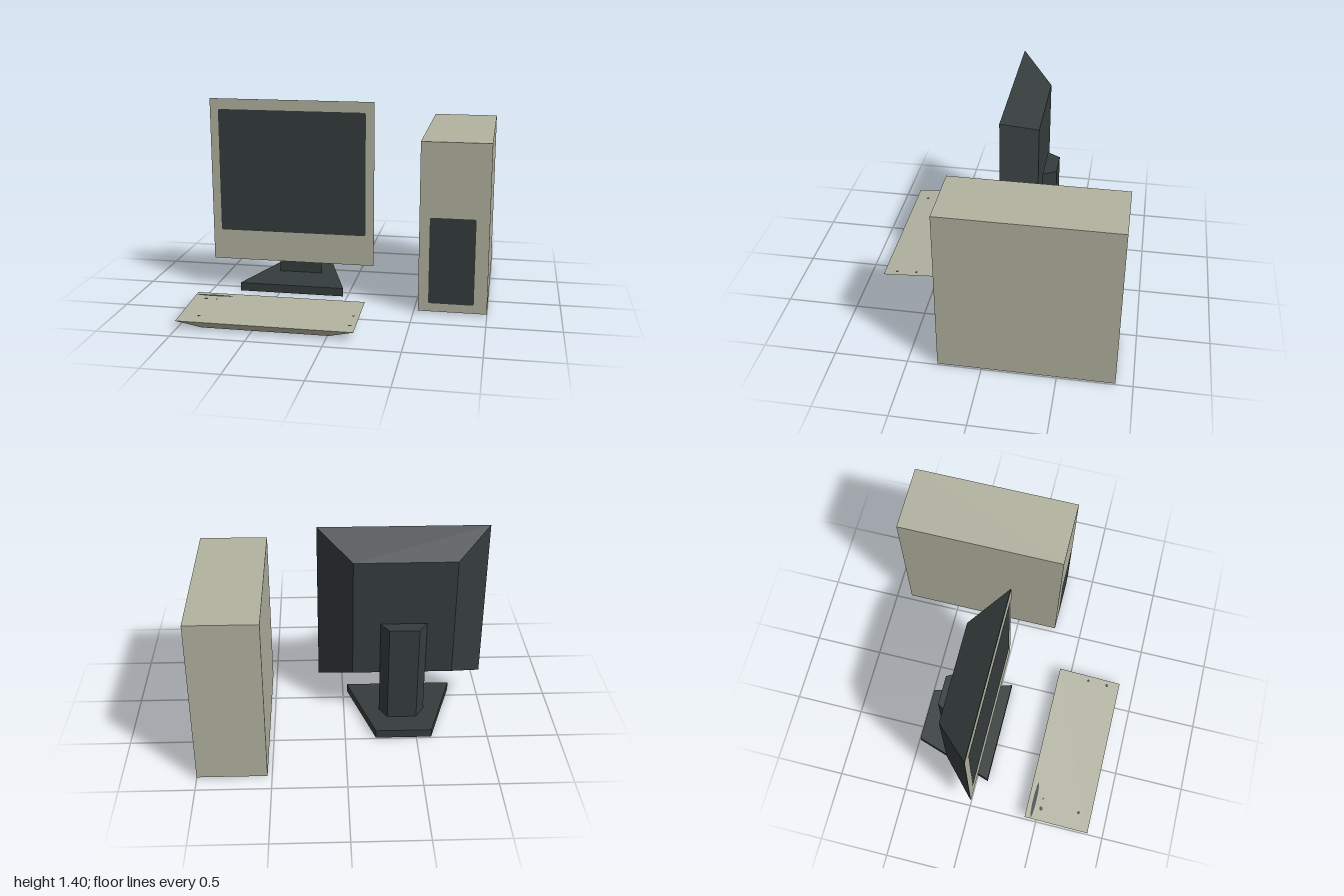
import * as THREE from 'three';

const beige = new THREE.MeshStandardMaterial({ color: 0xb2b2a0 });
beige.name = 'beige plastic';
const dark = new THREE.MeshStandardMaterial({ color: 0x353c3c });
dark.name = 'dark plastic';

// Flat-faced solid between two four-cornered rings (counterclockwise seen from the 'top' side)
function loft(bottom, top) {
  const pos = [];
  const quad = (a, b, c, d) => pos.push(...a, ...b, ...c, ...a, ...c, ...d);
  for (let i = 0; i < 4; i++) {
    const j = (i + 1) % 4;
    quad(bottom[i], bottom[j], top[j], top[i]);
  }
  quad(...top);
  quad(...[...bottom].reverse());
  const g = new THREE.BufferGeometry();
  g.setAttribute('position', new THREE.Float32BufferAttribute(pos, 3));
  g.computeVertexNormals();
  return g;
}

// Rings: upright rectangle at depth z, and horizontal trapezoid at height y
const upright = (x0, x1, y0, y1, z) => [[x0, y0, z], [x1, y0, z], [x1, y1, z], [x0, y1, z]];
const level = (front, back, zFront, zBack, yFront, yBack = yFront) => [
  [front[0], yFront, zFront], [front[1], yFront, zFront],
  [back[1], yBack, zBack], [back[0], yBack, zBack],
];

// Flat front-facing panel with rounded corners
function panel(x0, x1, y0, y1, z, r) {
  const s = new THREE.Shape();
  s.moveTo(x0 + r, y0);
  s.lineTo(x1 - r, y0).quadraticCurveTo(x1, y0, x1, y0 + r);
  s.lineTo(x1, y1 - r).quadraticCurveTo(x1, y1, x1 - r, y1);
  s.lineTo(x0 + r, y1).quadraticCurveTo(x0, y1, x0, y1 - r);
  s.lineTo(x0, y0 + r).quadraticCurveTo(x0, y0, x0 + r, y0);
  return new THREE.ShapeGeometry(s, 4).translate(0, 0, z);
}

export function createModel() {
  const model = new THREE.Group();
  model.name = 'desktopComputer';
  const add = (name, geometry, material, parent = model) => {
    const mesh = new THREE.Mesh(geometry, material);
    mesh.name = name;
    parent.add(mesh);
    return mesh;
  };
  const group = (name) => {
    const g = new THREE.Group();
    g.name = name;
    model.add(g);
    return g;
  };

  // Monitor: tapered dark housing, beige bezel, dark screen
  const monitor = group('monitor');
  add('monitorHousing', loft(upright(-0.76, -0.06, 0.375, 1.245, -0.225),
    upright(-1, 0.18, 0.22, 1.4, 0.01)), dark, monitor);
  add('bezel', new THREE.PlaneGeometry(1.18, 1.18).translate(-0.41, 0.81, 0.013), beige, monitor);
  add('screen', panel(-0.94, 0.12, 0.44, 1.325, 0.017, 0.015), dark, monitor);

  // Stand: tapered neck on a trapezoid foot, hollow underneath
  const stand = group('stand');
  const neckFront = [-0.57, -0.25], neckBack = [-0.51, -0.305];
  add('neck', loft(level(neckFront, neckBack, -0.235, -0.33, 0.035),
    level(neckFront, neckBack, -0.235, -0.33, 0.78)), dark, stand);
  const footFront = [-0.79, -0.03], footBack = [-0.605, -0.215];
  add('footTop', loft(level(footFront, footBack, 0.08, -0.49, 0.045),
    level(footFront, footBack, 0.08, -0.49, 0.06)), dark, stand);
  const outline = [[-0.79, -0.08], [-0.03, -0.08], [-0.215, 0.49], [-0.605, 0.49]];
  const hollow = [[-0.72, -0.03], [-0.575, 0.44], [-0.245, 0.44], [-0.1, -0.03]];
  const toPoints = (list) => list.map(([x, y]) => new THREE.Vector2(x, y));
  const rim = new THREE.Shape(toPoints(outline));
  rim.holes.push(new THREE.Path(toPoints(hollow)));
  add('footRim', new THREE.ExtrudeGeometry(rim, { depth: 0.045, bevelEnabled: false })
    .rotateX(-Math.PI / 2), dark, stand);

  // Tower case with a dark front panel
  const tower = group('tower');
  add('towerCase', new THREE.BoxGeometry(0.47, 1.18, 1.18).translate(0.765, 0.6, -0.295), beige, tower);
  add('towerPanel', panel(0.6, 0.91, 0.07, 0.675, 0.299, 0.012), dark, tower);

  // Keyboard: sloping wedge, narrower underneath
  const keyboard = group('keyboard');
  add('keyboardBody', loft(level([-0.835, 0.015], [-0.835, 0.015], 0.845, 0.455, 0.01),
    level([-1, 0.18], [-1, 0.18], 0.885, 0.413, 0.06, 0.092)), beige, keyboard);

  // Small dark marks lying on the sloped keyboard top: x, z, width, depth
  const slope = Math.atan2(0.032, 0.472);
  const marks = [[-0.86, 0.457, 0.27, 0.026], [-0.91, 0.515, 0.03, 0.024], [-0.835, 0.515, 0.015, 0.012],
    [-0.87, 0.79, 0.025, 0.02], [0.14, 0.645, 0.022, 0.018], [0.14, 0.79, 0.025, 0.02]];
  for (const [x, z, w, d] of marks) {
    const mark = add('keyboardMark', new THREE.CircleGeometry(0.5, 10).scale(w, d, 1)
      .rotateX(-Math.PI / 2 + slope), dark, keyboard);
    mark.position.set(x, 0.092 - (z - 0.413) * Math.tan(slope) + 0.002, z);
  }

  return model;
}
